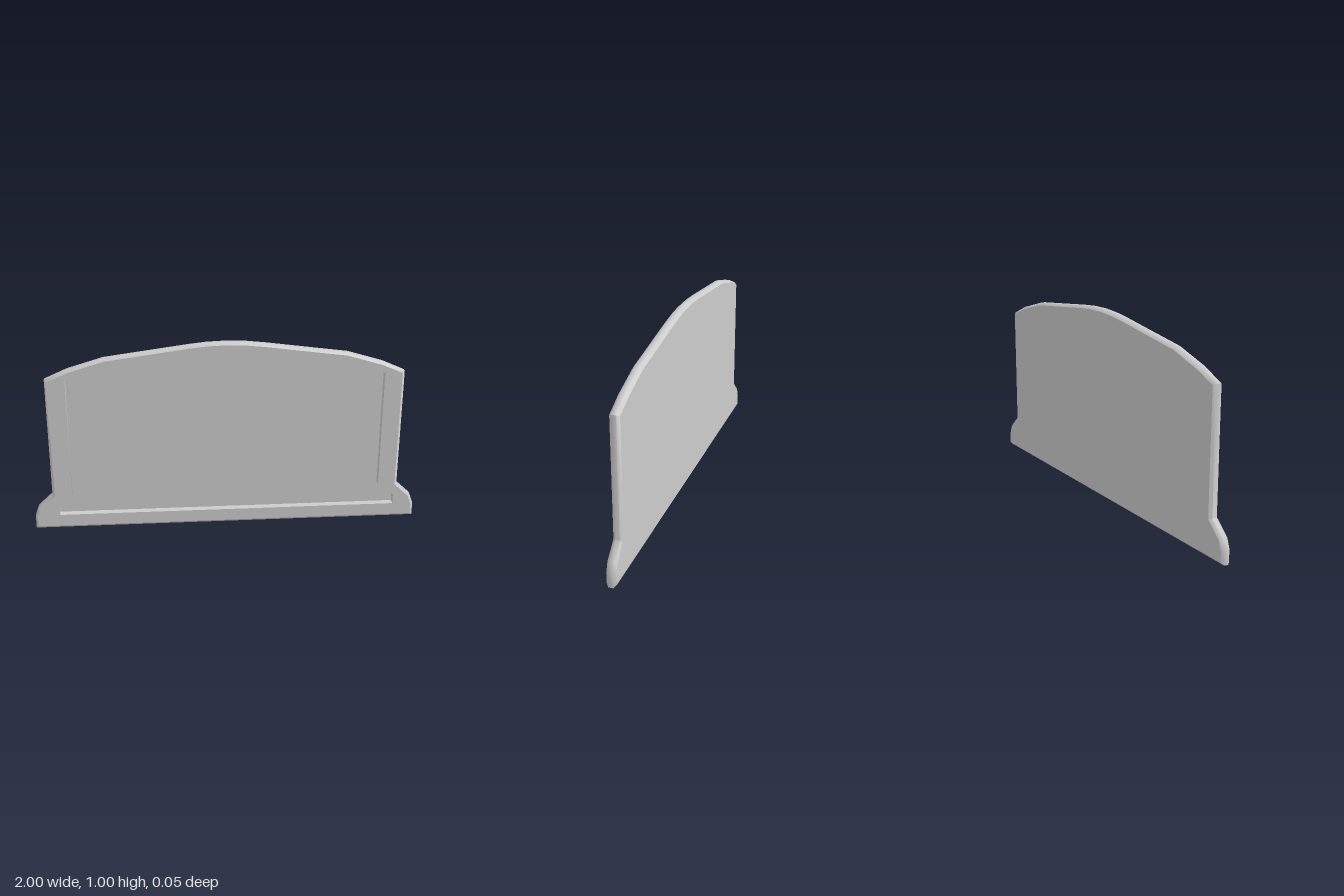
import * as THREE from 'three';
import { toCreasedNormals } from 'three/addons/utils/BufferGeometryUtils.js';

const HALF = 0.025;   // half thickness
const BEVEL = 0.013;  // edge chamfer
const FLOOR = -0.012; // depth of the recess floor

// Right halves, running from the bottom corner up to the crown
const outerHalf = [[1, 0], [1, 0.07], [0.98, 0.125], [0.905, 0.195], [0.905, 0.825], [0.79, 0.876],
  [0.61, 0.93], [0.4, 0.958], [0.2, 0.985], [0.1, 0.996], [0, 1]];
const innerHalf = [[0.88, 0.077], [0.88, 0.13], [0.803, 0.195], [0.803, 0.82], [0.73, 0.855],
  [0.56, 0.902], [0.4, 0.925], [0.26, 0.942], [0.12, 0.953], [0, 0.956]];

// Counter-clockwise closed outline from a half profile
function mirror(half) {
  const right = half.map(([x, y]) => new THREE.Vector2(x, y));
  const left = half.slice(0, -1).reverse().map(([x, y]) => new THREE.Vector2(-x, y));
  return [...right, ...left];
}

// Move every edge inward by d, with mitred corners
function inset(points, d) {
  const n = points.length;
  const normal = (a, b) => new THREE.Vector2(a.y - b.y, b.x - a.x).normalize();
  return points.map((p, i) => {
    const n1 = normal(points[(i + n - 1) % n], p);
    const n2 = normal(p, points[(i + 1) % n]);
    return p.clone().addScaledVector(n1.clone().add(n2), d / (1 + n1.dot(n2)));
  });
}

// Skin between outlines stacked along z
function loft(rings) {
  const pos = [], index = [], n = rings[0].points.length;
  for (const { points, z } of rings) for (const p of points) pos.push(p.x, p.y, z);
  for (let r = 0; r < rings.length - 1; r++) {
    for (let i = 0; i < n; i++) {
      const a = r * n + i, b = r * n + (i + 1) % n;
      index.push(a, b, b + n, a, b + n, a + n);
    }
  }
  const geo = new THREE.BufferGeometry();
  geo.setAttribute('position', new THREE.Float32BufferAttribute(pos, 3));
  geo.setIndex(index);
  return toCreasedNormals(geo, Math.PI / 3.5);
}

export function createModel() {
  const group = new THREE.Group();
  const material = new THREE.MeshStandardMaterial({ color: 0xcccccc });
  const add = (name, geo) => {
    const mesh = new THREE.Mesh(geo, material);
    mesh.name = name;
    group.add(mesh);
    return mesh;
  };

  const outer = mirror(outerHalf);
  const face = inset(outer, BEVEL);
  // The recess foot sits a touch towards +x
  const inner = mirror(innerHalf).map((p) => (Math.abs(p.x) > 0.85 ? p.setX(p.x + 0.008) : p));

  // Chamfered outside edge
  add('outerEdge', loft([
    { points: face, z: -HALF }, { points: outer, z: -HALF + BEVEL },
    { points: outer, z: HALF - BEVEL }, { points: face, z: HALF },
  ]));

  // Front frame around the recess
  const frame = new THREE.Shape(face);
  frame.holes.push(new THREE.Path(inner));
  add('frontFrame', new THREE.ShapeGeometry(frame)).position.z = HALF;

  // Recess walls and floor
  const wall = [...inner].reverse();
  add('recessWalls', loft([{ points: wall, z: FLOOR }, { points: wall, z: HALF }]));
  add('recessFloor', new THREE.ShapeGeometry(new THREE.Shape(inner))).position.z = FLOOR;

  // Plain back, turned to face -z (the outline is symmetric)
  const back = add('backPanel', new THREE.ShapeGeometry(new THREE.Shape(face)));
  back.rotation.y = Math.PI;
  back.position.z = -HALF;

  return group;
}
